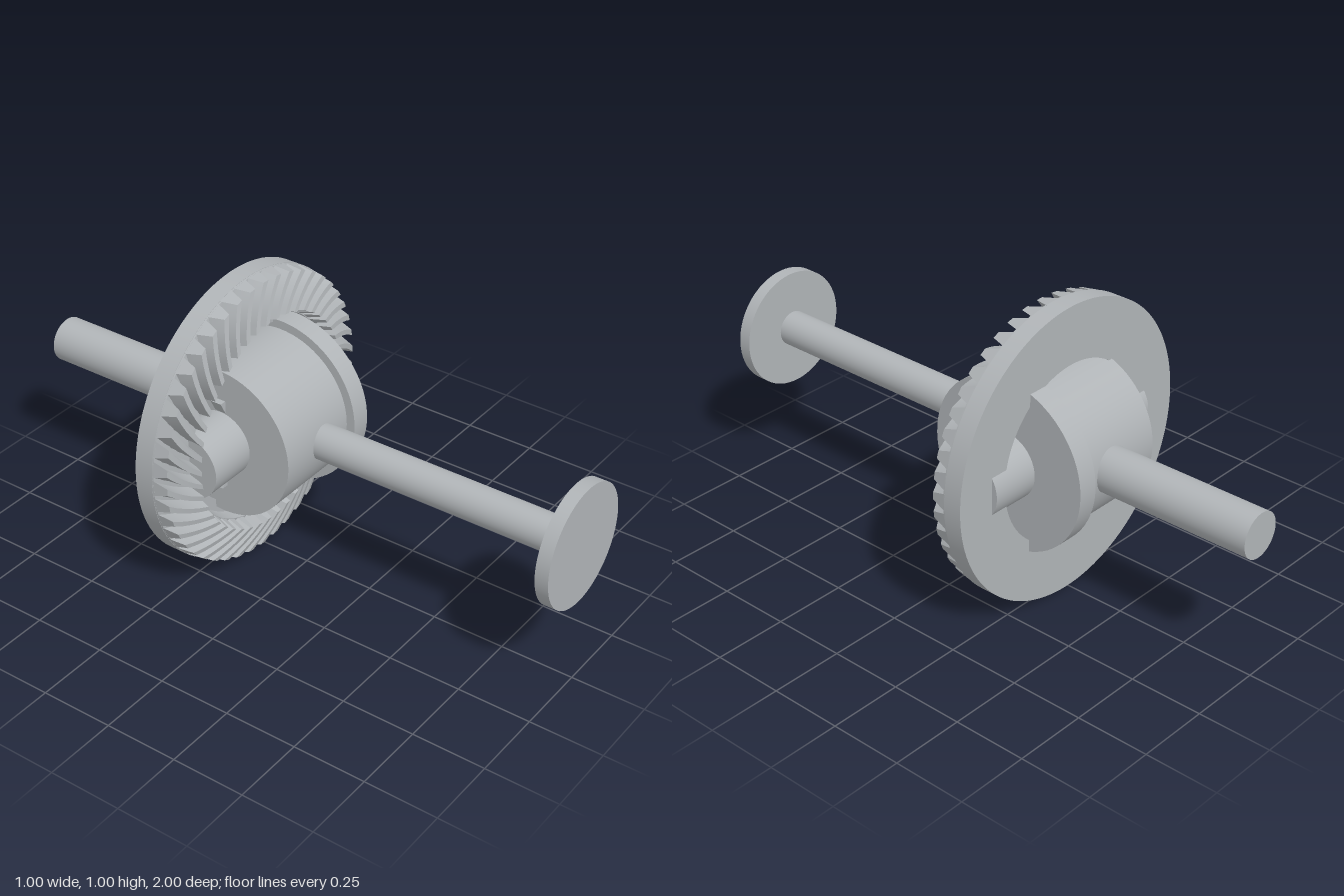
import * as THREE from 'three';
import { mergeGeometries, toCreasedNormals } from 'three/addons/utils/BufferGeometryUtils.js';

const CENTRE_Y = 0.503; // height of the gear axis
const CROSS_Z = -0.193; // depth of the cross axis
const TEETH = 46;

// One spiral bevel tooth, lofted from the inner end to the outer end
function toothGeometry(start) {
  const steps = 5, pitch = (Math.PI * 2) / TEETH, twist = 0.24;
  const pos = [], index = [];
  const lerp = THREE.MathUtils.lerp;
  for (let s = 0; s <= steps; s++) {
    const t = s / steps;
    const angle = start - twist * t;
    const base = [lerp(0.34, 0.498, t), -0.222, pitch * 0.43];
    const tip = [lerp(0.368, 0.49, t), lerp(-0.131, -0.168, t), pitch * 0.18];
    for (const [[r, z, half], side] of [[base, -1], [base, 1], [tip, 1], [tip, -1]]) {
      const a = angle + side * half;
      pos.push(r * Math.cos(a), r * Math.sin(a), z);
    }
  }
  const quad = (a, b, c, d) => index.push(a, b, c, a, c, d);
  for (let s = 0; s < steps; s++) {
    for (let i = 0; i < 4; i++) {
      const j = (i + 1) % 4, o = s * 4;
      quad(o + i, o + j, o + 4 + j, o + 4 + i);
    }
  }
  const e = steps * 4;
  quad(3, 2, 1, 0);
  quad(e, e + 1, e + 2, e + 3);
  const g = new THREE.BufferGeometry();
  g.setAttribute('position', new THREE.Float32BufferAttribute(pos, 3));
  g.setIndex(index);
  return toCreasedNormals(g, 0.4);
}

export function createModel() {
  const model = new THREE.Group();
  model.name = 'differentialGear';
  const steel = new THREE.MeshStandardMaterial({ color: 0xb0b4b7 });
  steel.name = 'steel grey';

  const add = (name, geometry) => {
    const mesh = new THREE.Mesh(geometry, steel);
    mesh.name = name;
    mesh.position.y = CENTRE_Y;
    model.add(mesh);
    return mesh;
  };
  // Cylinders lying along z or x between two positions
  const alongZ = (name, r, z0, z1) => add(name,
    new THREE.CylinderGeometry(r, r, z1 - z0, 72).rotateX(Math.PI / 2).translate(0, 0, (z0 + z1) / 2));
  const alongX = (name, r, x0, x1) => add(name,
    new THREE.CylinderGeometry(r, r, x1 - x0, 72).rotateZ(Math.PI / 2).translate((x0 + x1) / 2, 0, CROSS_Z));

  // Drive shafts and end flange
  alongZ('frontShaft', 0.06, -0.1, 0.96);
  alongZ('frontFlange', 0.203, 0.955, 1);
  alongZ('rearShaft', 0.076, -1, -0.25);

  // Housing with its collar, and the cross shaft
  alongX('housing', 0.262, -0.192, 0.13);
  alongX('housingCollar', 0.292, 0.12, 0.19);
  alongX('crossShaft', 0.112, -0.36, 0.36);

  // Flat back ring of the crown gear
  const ring = new THREE.Shape().absarc(0, 0, 0.4985, 0, Math.PI * 2, false);
  ring.holes.push(new THREE.Path().absarc(0, 0, 0.302, 0, Math.PI * 2, true));
  const ringGeometry = new THREE.ExtrudeGeometry(ring, { depth: 0.064, bevelEnabled: false, curveSegments: 96 });
  add('crownRing', toCreasedNormals(ringGeometry.translate(0, 0, -0.285), 0.5));

  // Conical floor between the teeth
  const floor = [[0.498, -0.224], [0.497, -0.216], [0.35, -0.182], [0.34, -0.224]]
    .map(([r, z]) => new THREE.Vector2(r, z));
  add('toothRoot', toCreasedNormals(new THREE.LatheGeometry(floor, 96).rotateX(Math.PI / 2), 0.4));

  // Spiral teeth
  const teeth = [];
  for (let i = 0; i < TEETH; i++) teeth.push(toothGeometry((i / TEETH) * Math.PI * 2));
  add('crownTeeth', mergeGeometries(teeth));

  // Small wedges beside the cross shaft, above and below
  const wedge = new THREE.Shape([[-0.215, 0.158], [-0.185, 0.1], [-0.185, 0.158]]
    .map(([x, y]) => new THREE.Vector2(x, y)));
  for (const side of [0, 1]) {
    const g = new THREE.ExtrudeGeometry(wedge, { depth: 0.04, bevelEnabled: false });
    g.translate(0, 0, -0.02);
    if (side) g.rotateX(Math.PI);
    add(side ? 'lowerWedge' : 'upperWedge', g.translate(0, 0, CROSS_Z));
  }
  return model;
}
